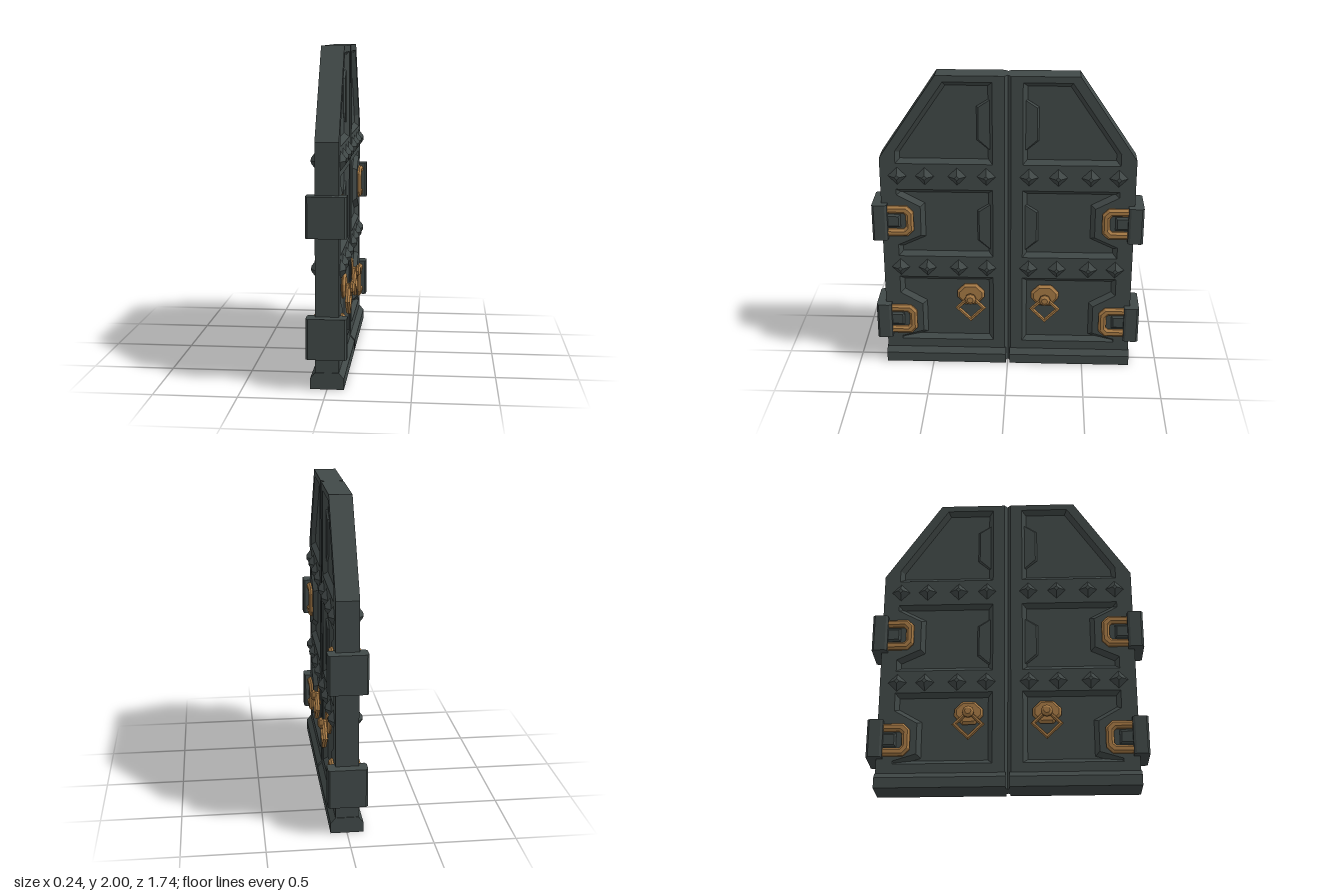
import * as THREE from 'three';

const FACE = 0.07;   // half thickness of the frame
const FLOOR = 0.04;  // half thickness inside the recessed panels

const V = (pts) => pts.map(([x, y]) => new THREE.Vector2(x, y));
// Mirror a counter-clockwise outline to the other leaf, keeping its winding
const flip = (pts, s) => (s > 0 ? pts : pts.map(([x, y]) => [-x, y]).reverse());

// Extrude an outline between two depths, with an optional chamfer inside the outline
function slab(pts, z0, z1, chamfer = 0, holes = []) {
  const shape = new THREE.Shape(V(pts));
  holes.forEach((h) => shape.holes.push(new THREE.Path(V(h))));
  const g = new THREE.ExtrudeGeometry(shape, {
    depth: z1 - z0 - 2 * chamfer, bevelEnabled: chamfer > 0, bevelThickness: chamfer,
    bevelSize: chamfer, bevelOffset: -chamfer, bevelSegments: 1,
  });
  return g.translate(0, 0, z0 + chamfer);
}

// Move every edge of a counter-clockwise outline inwards by d
function inset(pts, d) {
  const n = pts.length;
  return pts.map(([x, y], i) => {
    const [ax, ay] = pts[(i + n - 1) % n], [bx, by] = pts[(i + 1) % n];
    const l1 = Math.hypot(x - ax, y - ay), l2 = Math.hypot(bx - x, by - y);
    const n1 = [-(y - ay) / l1, (x - ax) / l1], n2 = [-(by - y) / l2, (bx - x) / l2];
    const k = d / (1 + n1[0] * n2[0] + n1[1] * n2[1]);
    return [x + (n1[0] + n2[0]) * k, y + (n1[1] + n2[1]) * k];
  });
}

// Sloping wall from an outline on the frame down to its inset on the panel
function slope(pts, d, zTop, zLow) {
  const inner = inset(pts, d), pos = [];
  pts.forEach((p, i) => {
    const j = (i + 1) % pts.length;
    const a = [...p, zTop], b = [...pts[j], zTop], c = [...inner[j], zLow], e = [...inner[i], zLow];
    pos.push(...a, ...b, ...c, ...a, ...c, ...e);
  });
  const g = new THREE.BufferGeometry();
  g.setAttribute('position', new THREE.Float32BufferAttribute(pos, 3));
  g.computeVertexNormals();
  return g;
}

const LEAF = [[0.02, 0], [0.81, 0], [0.81, 1.46], [0.445, 2], [0.02, 2]];
const PANELS = [
  [[0.095, 1.425], [0.71, 1.425], [0.71, 1.505], [0.4, 1.96], [0.095, 1.96]],
  [[0.095, 0.78], [0.71, 0.78], [0.71, 0.86], [0.56, 0.93], [0.56, 1.13], [0.71, 1.21], [0.71, 1.25], [0.095, 1.25]],
  [[0.095, 0.16], [0.71, 0.16], [0.71, 0.18], [0.565, 0.225], [0.565, 0.425], [0.71, 0.51], [0.71, 0.63], [0.095, 0.63]],
];
const RIDGES = [[1.5, 1.86], [0.81, 1.16]];
const HINGES = [0.315, 1.032];

export function createModel() {
  const iron = new THREE.MeshStandardMaterial({ color: 0x414948, flatShading: true });
  iron.name = 'dark iron';
  const brass = new THREE.MeshStandardMaterial({ color: 0xa87b46, flatShading: true });
  brass.name = 'brass';

  const model = new THREE.Group();
  model.name = 'doubleDoor';
  const door = new THREE.Group();
  door.name = 'door';
  door.rotation.y = Math.PI / 2;
  model.add(door);

  const add = (parent, name, geometry, material, x = 0, y = 0, z = 0) => {
    const m = new THREE.Mesh(geometry, material);
    m.name = name;
    m.position.set(x, y, z);
    parent.add(m);
    return m;
  };

  // Seam with a V groove on both sides
  const seam = [[0, -0.045], [0.02, -FACE], [0.02, FACE], [0, 0.045], [-0.02, FACE], [-0.02, -FACE]];
  add(door, 'seam', slab(seam, 0, 2).rotateX(-Math.PI / 2), iron);

  for (const s of [1, -1]) {
    // Frame with panel openings, and the recessed panels
    add(door, 'leafFrame', slab(flip(LEAF, s), -FACE, FACE, 0, PANELS), iron).geometry.dispose();
    door.children.at(-1).geometry = slab(flip(LEAF, s), -FACE, FACE, 0, PANELS.map((p) => flip(p, s)));
    PANELS.forEach((p) => add(door, 'panel', slab(flip(p, s), -FLOOR, FLOOR), iron));

    // Kick rail along the bottom
    const kick = [[-0.1, 0], [0.1, 0], [0.1, 0.065], [FACE, 0.1], [-FACE, 0.1], [-0.1, 0.065]];
    const rail = slab(kick, 0.012, 0.815).rotateY(Math.PI / 2);
    add(door, 'kickRail', s > 0 ? rail : rail.rotateY(Math.PI), iron);

    // Hinge blocks wrapped round the outer edge
    const block = [[0.77, -0.11], [0.785, -0.12], [0.855, -0.12], [0.868, -0.108],
      [0.868, 0.108], [0.855, 0.12], [0.785, 0.12], [0.77, 0.11]];
    HINGES.forEach((y) => add(door, 'hingeBlock',
      slab(flip(block, s), -0.122, 0.122).rotateX(-Math.PI / 2), iron, 0, y));
  }

  // Everything mounted on one face of the door
  const face = new THREE.Group();
  face.name = 'faceDetails';
  for (const s of [1, -1]) {
    PANELS.forEach((p) => add(face, 'panelBevel', slope(flip(p, s), 0.028, FACE, FLOOR), iron));

    // Low raised plates beside the seam
    RIDGES.forEach(([a, b]) => {
      const pts = [[0.1, a], [0.195, a + 0.08], [0.195, b - 0.06], [0.1, b]];
      add(face, 'raisedPlate', slab(flip(pts, s), FLOOR - 0.012, FLOOR + 0.012, 0.011), iron);
    });

    // Rows of diamond studs
    for (const y of [0.7, 1.342]) {
      for (const x of [0.135, 0.32, 0.525, 0.7]) {
        const stud = new THREE.CylinderGeometry(0.016, 0.06, 0.034, 4).rotateX(Math.PI / 2);
        add(face, 'stud', stud, iron, s * x, y, FACE + 0.016);
      }
    }

    // Brass hinge straps, each around a small iron lug
    const strap = [[0.785, -0.105], [0.645, -0.105], [0.605, -0.065], [0.605, 0.065], [0.645, 0.105], [0.785, 0.105],
      [0.785, 0.055], [0.67, 0.055], [0.655, 0.04], [0.655, -0.04], [0.67, -0.055], [0.785, -0.055]].reverse();
    const lug = [[0.69, -0.045], [0.785, -0.045], [0.785, 0.045], [0.69, 0.045]];
    HINGES.forEach((y) => {
      add(face, 'hingeStrap', slab(flip(strap, s), 0.05, 0.095, 0.014), brass, 0, y);
      add(face, 'hingeLug', slab(flip(lug, s), 0.05, 0.085, 0.012), iron, 0, y);
    });

    // Knocker: backplate, knob and square ring hung on a corner
    const knocker = new THREE.Group();
    knocker.name = 'knocker';
    knocker.position.set(s * 0.245, 0.49, 0);
    const plate = [[-0.04, -0.07], [0.04, -0.07], [0.09, -0.015], [0.09, 0.03],
      [0.04, 0.08], [-0.04, 0.08], [-0.09, 0.03], [-0.09, -0.015]];
    add(knocker, 'backplate', slab(plate, 0.03, 0.066, 0.015), brass);
    const knob = new THREE.LatheGeometry(
      V([[0.022, 0.05], [0.022, 0.085], [0.038, 0.095], [0.038, 0.108], [0.02, 0.12], [0, 0.12]]), 8);
    add(knocker, 'knob', knob.rotateX(Math.PI / 2), brass, 0, -0.005);
    add(knocker, 'ring', new THREE.TorusGeometry(0.086, 0.017, 6, 4), brass, 0, -0.08, 0.08);
    face.add(knocker);
  }
  const back = face.clone();
  back.name = 'backFaceDetails';
  back.rotation.y = Math.PI;
  door.add(face, back);

  return model;
}
